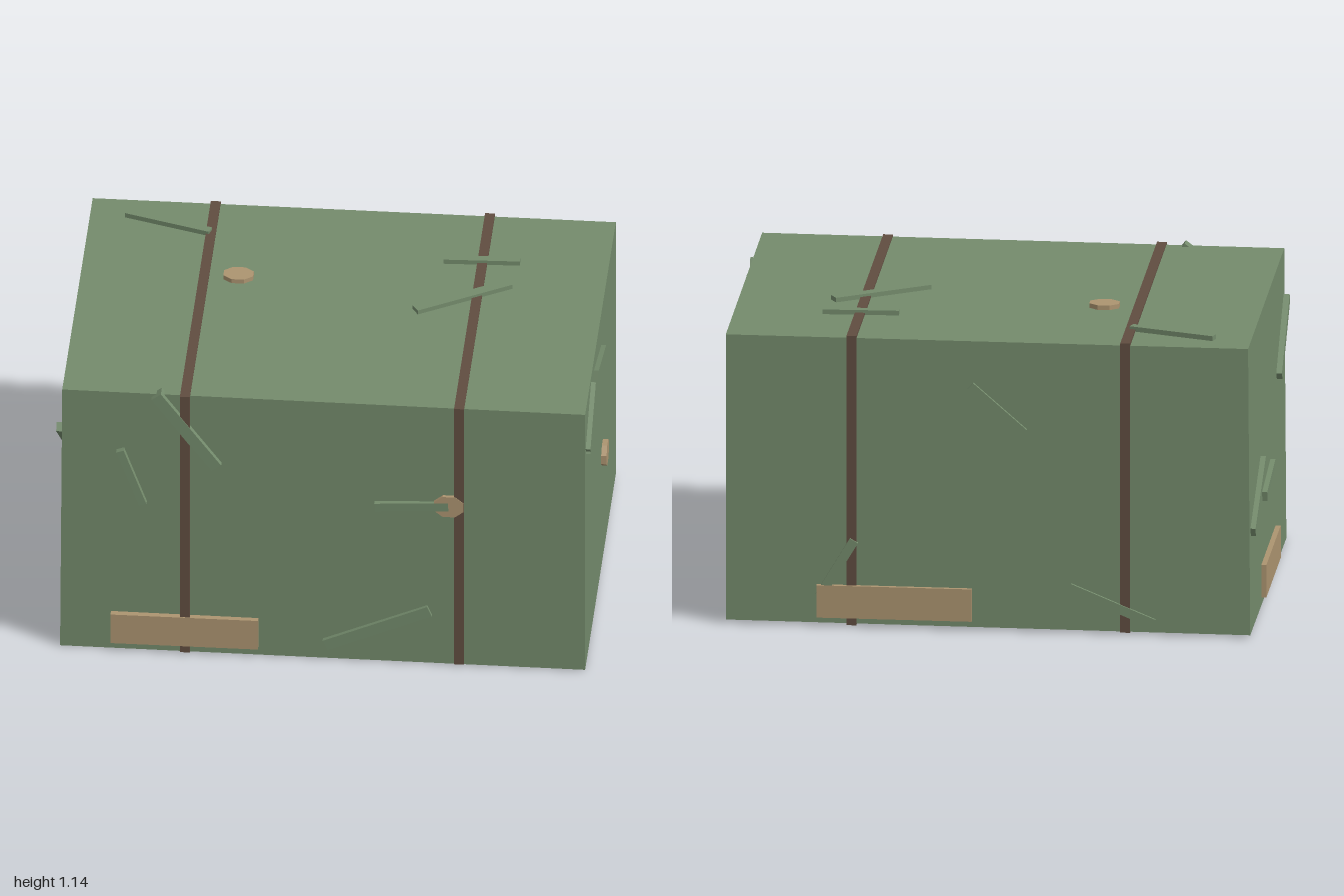
import * as THREE from 'three';

export function createModel() {
  const model = new THREE.Group();
  model.name = 'strappedCrate';
  const mat = (name, color) => {
    const m = new THREE.MeshStandardMaterial({ color });
    m.name = name;
    return m;
  };
  const green = mat('paintedGreen', 0x748b6c);
  const brown = mat('strapBrown', 0x604d40);
  const tan = mat('patchTan', 0xac9470);

  const add = (parent, name, geometry, material, x, y, z) => {
    const mesh = new THREE.Mesh(geometry, material);
    mesh.name = name;
    mesh.position.set(x, y, z);
    parent.add(mesh);
    return mesh;
  };

  // Body: a box whose corners are nudged slightly out of square
  const bodyGeo = new THREE.BoxGeometry(2, 2, 2);
  const p = bodyGeo.attributes.position;
  for (let i = 0; i < p.count; i++) {
    const x = p.getX(i), y = p.getY(i), z = p.getZ(i);
    p.setXYZ(i,
      x > 0 ? 0.98 : (y > 0 ? -0.972 : -0.98),
      y > 0 ? 1.123 + 0.002 * z : 0.0115 + 0.002 * x - 0.005 * z,
      z > 0 ? 0.675 + 0.008 * x : -0.686 + 0.003 * x);
  }
  const flatBody = bodyGeo.toNonIndexed();
  flatBody.computeVertexNormals();
  add(model, 'body', flatBody, green, 0, 0, 0);

  // Two straps running around the body
  for (const x of [-0.513, 0.51]) {
    add(model, 'strap', new THREE.BoxGeometry(0.037, 1.118, 1.382), brown, x, 0.571, -0.001);
  }

  // One group per side: local x and y lie in the side, local z points outward
  const side = (name, pos, rx, ry) => {
    const g = new THREE.Group();
    g.name = name;
    g.position.set(...pos);
    g.rotation.set(rx, ry, 0);
    model.add(g);
    return g;
  };
  const front = side('frontDetails', [0, 0, 0.675], 0, 0);
  const back = side('backDetails', [0, 0, -0.684], 0, Math.PI);
  const right = side('rightDetails', [0.98, 0, 0], 0, Math.PI / 2);
  const left = side('leftDetails', [-0.978, 0, 0], 0, -Math.PI / 2);
  const top = side('topDetails', [0, 1.122, 0], -Math.PI / 2, 0);

  // Raised strips from one end to the other
  const strip = (g, x1, y1, x2, y2, w, h = 0.018) => {
    const len = Math.hypot(x2 - x1, y2 - y1);
    const m = add(g, 'strip', new THREE.BoxGeometry(len, w, 0.03 + h), green,
      (x1 + x2) / 2, (y1 + y2) / 2, (h - 0.03) / 2);
    m.rotation.z = Math.atan2(y2 - y1, x2 - x1);
  };
  strip(front, -0.62, 1.125, -0.395, 0.825, 0.045);
  strip(front, -0.755, 0.88, -0.67, 0.65, 0.03);
  strip(front, 0.195, 0.685, 0.47, 0.7, 0.035, 0.02);
  strip(front, 0.01, 0.07, 0.4, 0.238, 0.045);

  strip(right, -0.645, 0.95, -0.425, 0.815, 0.032);
  strip(right, -0.65, 0.945, -0.41, 1.09, 0.035);
  strip(right, -0.295, 1.058, 0.03, 0.967, 0.038);

  strip(left, 0.35, 0.72, 0.64, 0.945, 0.035);
  strip(left, -0.645, 0.4, -0.255, 0.57, 0.035);
  strip(left, -0.21, 0.415, 0.1, 0.455, 0.035);

  strip(back, -0.065, 0.95, 0.135, 0.775, 0.032, 0.014);
  strip(back, -0.5, 0.34, -0.63, 0.12, 0.035, 0.014);
  strip(back, 0.305, 0.18, 0.62, 0.05, 0.035, 0.014);

  strip(top, -0.835, 0.58, -0.515, 0.475, 0.034);
  strip(top, 0.365, 0.353, 0.65, 0.363, 0.032);
  strip(top, 0.29, -0.01, 0.625, 0.2, 0.042);

  // Tan plates along the lower edges
  const plate = (g, x1, x2, h) =>
    add(g, 'plate', new THREE.BoxGeometry(x2 - x1, 0.125, 0.03 + h), tan, (x1 + x2) / 2, 0.103, (h - 0.03) / 2);
  plate(front, -0.79, -0.24, 0.019);
  plate(back, -0.64, -0.06, 0.017);
  plate(left, -0.265, 0.275, 0.02);

  // Eight-sided flattened knobs
  const knob = (g, x, y, h) => {
    const geo = new THREE.CylinderGeometry(1, 1, 0.03 + h, 8).toNonIndexed();
    geo.rotateX(Math.PI / 2).rotateZ(Math.PI / 8).scale(0.06, 0.047, 1);
    geo.computeVertexNormals();
    add(g, 'knob', geo, tan, x, y, (h - 0.03) / 2);
  };
  knob(front, 0.472, 0.7, 0.0175);
  knob(right, 0.085, 0.485, 0.02);
  knob(top, -0.385, 0.178, 0.018);

  return model;
}
